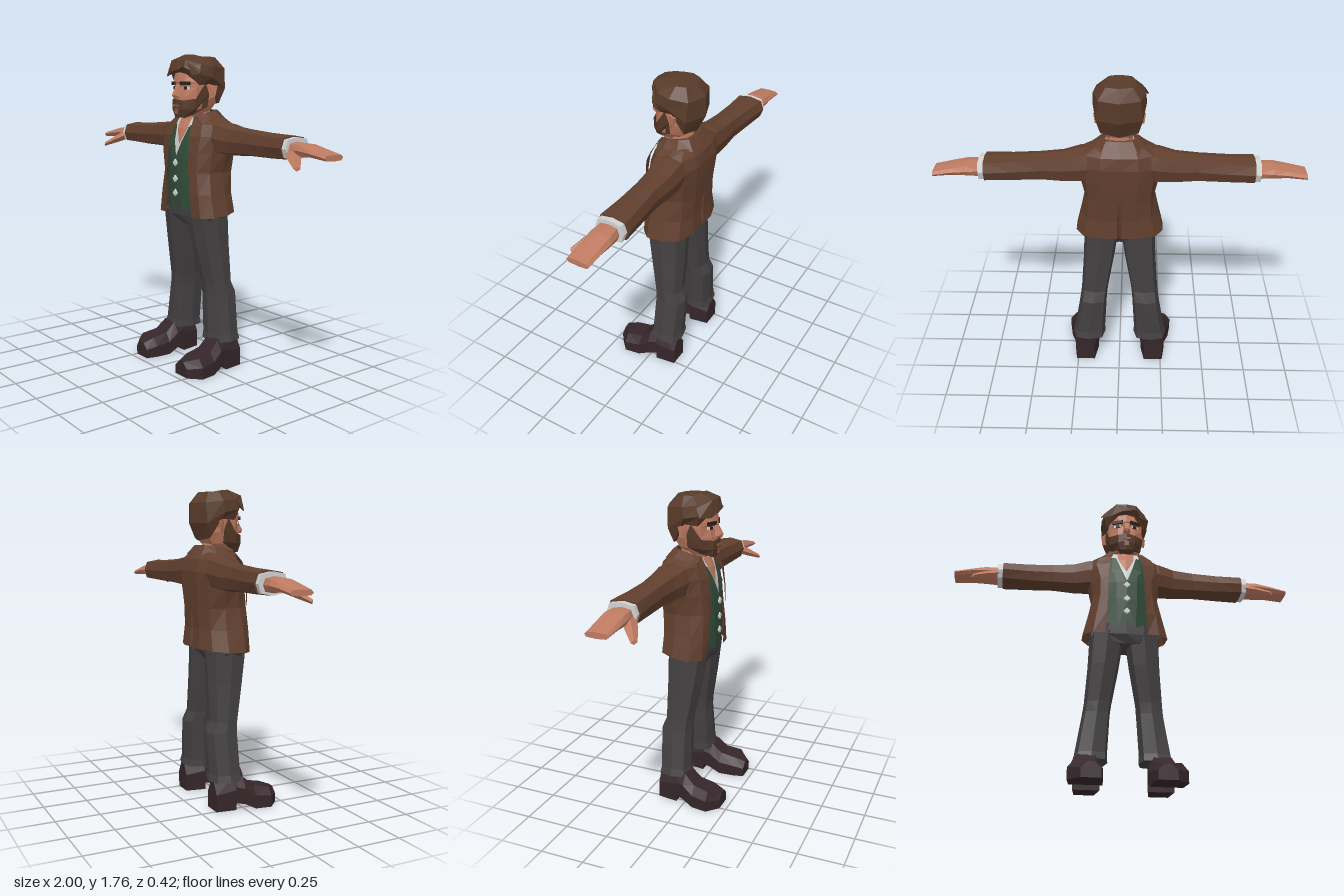
import * as THREE from 'three';
import { ConvexGeometry } from 'three/addons/geometries/ConvexGeometry.js';

const mat = (name, color, side = THREE.FrontSide) => {
  const m = new THREE.MeshStandardMaterial({ color, side });
  m.name = name;
  return m;
};

// Faceted surface through rings of [x, y, z] points; turned outward by its signed volume.
function loft(rings, closed = true) {
  const tris = [], n = rings[0].length;
  for (let r = 0; r + 1 < rings.length; r++) {
    for (let i = 0; i < (closed ? n : n - 1); i++) {
      const j = (i + 1) % n, [a, b, c, d] = [rings[r][i], rings[r][j], rings[r + 1][j], rings[r + 1][i]];
      tris.push([a, b, c], [a, c, d]);
    }
  }
  const mean = pts => [0, 1, 2].map(k => pts.reduce((s, p) => s + p[k], 0) / pts.length);
  if (closed) {
    const first = rings[0], last = rings[rings.length - 1], f = mean(first), l = mean(last);
    for (let i = 0; i < n; i++) {
      const j = (i + 1) % n;
      tris.push([f, first[j], first[i]], [l, last[i], last[j]]);
    }
  }
  const mid = new THREE.Vector3(...mean(rings.flat()));
  const v = p => new THREE.Vector3(...p).sub(mid);
  const volume = tris.reduce((s, [a, b, c]) => s + v(a).dot(v(b).cross(v(c))), 0);
  if (volume < 0) tris.forEach(t => t.reverse());
  const g = new THREE.BufferGeometry();
  g.setAttribute('position', new THREE.Float32BufferAttribute(tris.flat(2), 3));
  g.computeVertexNormals();
  return g;
}

const flip = (p, s) => [p[0] * s, p[1], p[2]];
const side = (rings, s) => rings.map(r => r.map(p => flip(p, s)));
// Completes a half ring across x = 0.
const whole = half => half.concat(half.filter(p => p[0] !== 0).reverse().map(p => flip(p, -1)));
// Half ring at one height from [x, z] pairs.
const level = (y, pts) => whole(pts.map(([x, z]) => [x, y, z]));
const hull = pts => new ConvexGeometry(pts.map(p => new THREE.Vector3(...p)));
const OCT = [[1, 0], [.8, .8], [0, 1], [-.8, .8], [-1, 0], [-.8, -.8], [0, -1], [.8, -.8]];

export function createModel() {
  const model = new THREE.Group();
  const jacket = mat('jacket brown', 0x613f2e, THREE.DoubleSide);
  const hair = mat('hair brown', 0x573a29, THREE.DoubleSide);
  const skin = mat('skin', 0xbd7a60, THREE.DoubleSide);
  const trousers = mat('trouser grey', 0x434041);
  const leather = mat('shoe leather', 0x35262a);
  const green = mat('waistcoat green', 0x304a38, THREE.DoubleSide);
  const white = mat('shirt white', 0xd2d3d3, THREE.DoubleSide);
  const dark = mat('brow dark', 0x2b1f1b);
  const lip = mat('lip', 0x8e5745);
  const add = (name, geometry, material) => {
    const m = new THREE.Mesh(geometry, material);
    m.name = name;
    model.add(m);
    return m;
  };

  // Jacket shell, open down the front, with a sunken vent at the back
  const body = [
    [.87, [.12, .08], [.19, .075], [.245, .02], [.243, -.08], [.2, -.16], [.1, -.195], [.012, -.195], [0, -.165]],
    [1.0, [.112, .09], [.17, .075], [.215, .02], [.212, -.08], [.175, -.157], [.09, -.188], [.012, -.19], [0, -.17]],
    [1.12, [.107, .086], [.15, .07], [.19, .01], [.192, -.08], [.168, -.162], [.09, -.197], [.012, -.198], [0, -.197]],
    [1.23, [.105, .077], [.15, .06], [.2, 0], [.215, -.09], [.18, -.172], [.1, -.205], [.012, -.207], [0, -.207]],
    [1.32, [.1, .06], [.15, .045], [.2, 0], [.22, -.09], [.18, -.18], [.1, -.21], [.012, -.21], [0, -.21]],
    [1.385, [.085, .035], [.14, .025], [.19, -.01], [.21, -.09], [.18, -.16], [.1, -.193], [.012, -.198], [0, -.198]],
    [1.42, [.07, .02], [.11, .01], [.13, -.03], [.14, -.09], [.13, -.14], [.08, -.165], [.012, -.17], [0, -.17]],
    [1.43, [.062, .01], [.075, -.01], [.08, -.05], [.085, -.08], [.08, -.11], [.05, -.135], [.01, -.14], [0, -.14]],
  ].map(([y, ...p]) => level(y, p));
  body[0].forEach(p => { p[1] = .877 - p[2] * .08; });
  add('jacketBody', loft(body, false), jacket);

  // Turned-down collar
  add('collar', loft([
    whole([[.068, 1.425, .025], [.085, 1.44, -.03], [.085, 1.455, -.09], [.06, 1.46, -.125], [0, 1.46, -.135]]),
    whole([[.085, 1.425, .025], [.1, 1.445, -.03], [.1, 1.457, -.095], [.07, 1.46, -.14], [0, 1.46, -.148]]),
    whole([[.12, 1.405, .025], [.145, 1.415, -.03], [.145, 1.415, -.11], [.095, 1.41, -.178], [0, 1.41, -.187]]),
  ], false), jacket);

  // Pelvis
  add('trouserSeat', loft([
    level(.96, [[0, .08], [.09, .075], [.17, .02], [.17, -.08], [.13, -.14], [0, -.15]]),
    level(.87, [[0, .075], [.11, .07], [.2, .02], [.2, -.08], [.14, -.145], [0, -.14]]),
    level(.82, [[0, .05], [.07, .06], [.17, .02], [.17, -.08], [.11, -.13], [0, -.11]]),
  ]), trousers);

  // Shirt front and open neck
  add('shirtFront', loft([
    whole([[.075, 1.42, .02], [0, 1.41, .025]]),
    whole([[.09, 1.34, .05], [0, 1.34, .056]]),
    whole([[.07, 1.18, .075], [0, 1.18, .085]]),
  ], false), white);
  add('chest', loft([
    whole([[.05, 1.42, .024], [0, 1.41, .035]]),
    whole([[.045, 1.36, .055], [0, 1.36, .06]]),
    whole([[.002, 1.275, .078], [0, 1.275, .08]]),
  ], false), skin);
  add('neck', new THREE.CylinderGeometry(.065, .078, .15, 8).toNonIndexed().translate(0, 1.425, -.055), skin)
    .geometry.computeVertexNormals();

  // Waistcoat buttons
  for (const y of [1.17, 1.08, 1.0]) {
    const button = new THREE.CylinderGeometry(.018, .022, .009, 4).rotateX(Math.PI / 2).translate(0, y, .107);
    add('waistcoatButton', button, white);
  }

  // Head
  add('head', loft([
    level(1.43, [[0, .075], [.035, .07], [.06, .03], [.06, -.02], [.05, -.05], [0, -.06]]),
    level(1.47, [[0, .085], [.045, .075], [.085, .03], [.09, -.04], [.07, -.1], [0, -.12]]),
    level(1.53, [[0, .085], [.05, .075], [.095, .03], [.105, -.06], [.085, -.14], [0, -.16]]),
    level(1.585, [[0, .075], [.05, .068], [.1, .03], [.11, -.06], [.09, -.15], [0, -.18]]),
    level(1.615, [[0, .087], [.05, .078], [.1, .03], [.11, -.06], [.09, -.15], [0, -.18]]),
    level(1.71, [[0, .07], [.05, .06], [.09, .01], [.1, -.06], [.08, -.13], [0, -.16]]),
  ]), skin);
  add('nose', hull([[.014, 1.61, .08], [-.014, 1.61, .08], [.011, 1.545, .12], [-.011, 1.545, .12],
    [.024, 1.53, .085], [-.024, 1.53, .085], [0, 1.525, .115]]), skin);

  // Beard wrapping from sideburn to sideburn
  add('beard', loft([
    whole([[.114, 1.61, -.02], [.101, 1.525, .037], [.05, 1.515, .088], [0, 1.522, .101]]),
    whole([[.114, 1.55, -.045], [.094, 1.47, .037], [.05, 1.465, .087], [0, 1.47, .1]]),
    whole([[.1, 1.48, -.045], [.07, 1.438, .03], [.04, 1.422, .076], [0, 1.418, .086]]),
    whole([[.06, 1.46, -.045], [.045, 1.44, 0], [.03, 1.427, .02], [0, 1.427, .02]]),
  ], false), hair);
  add('mouth', new THREE.BoxGeometry(.045, .012, .008).translate(0, 1.487, .1), lip);
  add('chinPatch', new THREE.BoxGeometry(.026, .03, .006).translate(0, 1.455, .097), lip);

  // Hair cap and swept fringe
  add('hair', loft([
    whole([[0, 1.665, .075], [.06, 1.655, .065], [.112, 1.6, .02], [.115, 1.605, -.06], [.1, 1.5, -.125], [0, 1.485, -.15]]),
    whole([[0, 1.7, .1], [.06, 1.695, .09], [.13, 1.655, .035], [.142, 1.64, -.05], [.122, 1.58, -.15], [0, 1.58, -.197]]),
    whole([[0, 1.735, .09], [.06, 1.735, .08], [.122, 1.71, .02], [.138, 1.7, -.06], [.11, 1.69, -.155], [0, 1.69, -.195]]),
    whole([[0, 1.765, .02], [.04, 1.765, .01], [.08, 1.753, -.02], [.09, 1.753, -.07], [.07, 1.75, -.12], [0, 1.75, -.14]]),
  ]), hair);
  add('fringe', hull([[.06, 1.72, .07], [.04, 1.685, .108], [-.06, 1.735, .085], [-.155, 1.65, .05],
    [-.09, 1.645, .09], [-.13, 1.7, .02], [-.03, 1.67, .11]]), hair);
  add('fringeLock', hull([[.02, 1.74, .07], [.07, 1.72, .075], [.14, 1.66, .04], [.13, 1.605, .02],
    [.1, 1.65, .065], [.11, 1.71, 0]]), hair);

  for (const s of [1, -1]) {
    const tag = s > 0 ? 'left' : 'right';
    const put = (name, rings, m, closed = true) => add(tag + name, loft(side(rings, s), closed), m);

    // Sleeve, cuff and hand: rings across the arm [x, y, z, half height, half depth]
    const arm = list => list.map(([x, y, z, h, d]) => OCT.map(([a, b]) => [x, y + a * h, z + b * d]));
    put('Sleeve', arm([[.14, 1.315, -.085, .085, .1], [.21, 1.31, -.09, .09, .095], [.3, 1.3, -.1, .08, .08],
      [.42, 1.298, -.1, .071, .071], [.57, 1.293, -.103, .066, .078], [.72, 1.293, -.106, .062, .09]]), jacket);
    put('Cuff', arm([[.7, 1.291, -.104, .056, .08], [.75, 1.291, -.104, .058, .082]]), white);
    put('Hand', arm([[.74, 1.285, -.1, .042, .058], [.82, 1.288, -.102, .034, .068],
      [.9, 1.28, -.1, .023, .067], [1, 1.264, -.1, .016, .064]]), skin);
    put('Thumb', [[.76, 1.275, -.06, .028], [.82, 1.245, -.015, .023], [.885, 1.21, .03, .012]].map(([x, y, z, r]) =>
      [[x, y + r, z], [x + r, y, z - r], [x, y - r, z], [x - r, y, z + r]]), skin);

    // Lapel folded over the jacket front
    put('Lapel', [
      [[.065, 1.43, .022], [.1, 1.425, .024]],
      [[.083, 1.385, .052], [.155, 1.375, .042]],
      [[.098, 1.32, .08], [.175, 1.325, .058]],
      [[.105, 1.23, .092], [.15, 1.22, .08]],
      [[.107, 1.11, .097], [.112, 1.105, .095]],
    ], jacket, false);

    // Waistcoat half and its lapel
    put('Waistcoat', [
      [[.062, 1.38, .045], [.08, 1.38, .042], [.1, 1.37, .03]],
      [[.038, 1.29, .08], [.075, 1.29, .075], [.115, 1.29, .058]],
      [[0, 1.2, .1], [.06, 1.19, .094], [.12, 1.19, .07]],
      [[0, 1.08, .104], [.06, 1.08, .098], [.12, 1.08, .07]],
      [[0, .945, .1], [.05, .9, .098], [.125, .94, .07]],
    ], green, false);
    put('WaistcoatLapel', [
      [[.058, 1.37, .055], [.08, 1.37, .05]],
      [[.035, 1.29, .087], [.088, 1.265, .086]],
      [[.002, 1.2, .106], [.012, 1.195, .107]],
    ], green, false);

    // Trouser leg: [y, inner x, outer x, front z, back z]
    put('Leg', [[.89, .002, .2, .075, -.15], [.7, .03, .207, .045, -.15], [.49, .068, .222, .004, -.15],
      [.43, .075, .23, 0, -.178], [.2, .088, .268, .002, -.168], [.16, .085, .28, .01, -.176]].map(([y, i, o, f, b]) =>
      OCT.map(([u, v]) => [(i + o) / 2 + u * (o - i) / 2, y, (f + b) / 2 + v * (f - b) / 2])), trousers);

    // Shoe with a heel step: [z, bottom, top, inner x, outer x]
    put('Shoe', [[-.165, 0, .16, .15, .26], [-.05, 0, .19, .13, .275], [-.048, .04, .19, .13, .275],
      [0, .03, .18, .125, .29], [.06, 0, .125, .125, .302], [.15, 0, .108, .13, .316], [.212, 0, .085, .145, .25]]
      .map(([z, b, t, i, o]) => [[i, b, z], [o, b, z], [o, b + (t - b) * .6, z], [o - .035, t, z], [i + .035, t, z],
        [i, b + (t - b) * .6, z]]), leather);

    // Ear, eye and brow
    add(tag + 'Ear', hull([[.1, 1.6, -.04], [.1, 1.52, -.045], [.137, 1.595, -.085], [.13, 1.535, -.075],
      [.1, 1.59, -.09], [.118, 1.6, -.05]].map(p => flip(p, s))), skin);
    const plate = (name, w, h, x, y, z, m) =>
      add(tag + name, new THREE.BoxGeometry(w, h, .009).rotateY(s * .4).translate(s * x, y, z), m);
    plate('EyeWhite', .042, .015, .052, 1.583, .068, white);
    plate('Eye', .022, .017, .05, 1.583, .071, dark);
    plate('Brow', .066, .02, .053, 1.608, .077, dark).rotation.z = 0;
  }
  return model;
}
